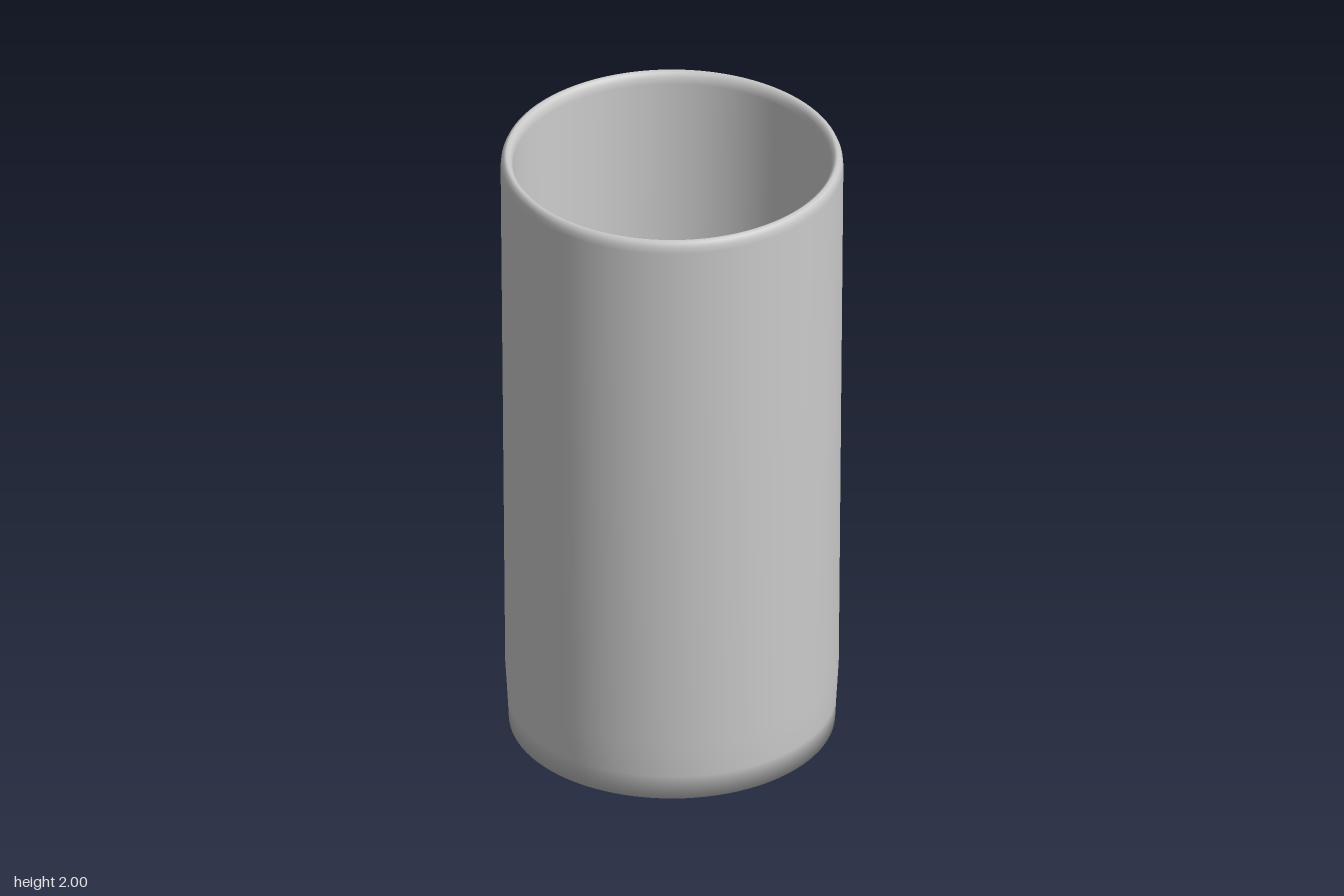
import * as THREE from 'three';

export function createModel() {
  const group = new THREE.Group();
  group.name = 'tumbler';
  const material = new THREE.MeshStandardMaterial({ color: 0xcccccc });

  // One closed profile: underside, outer wall, rounded rim, inner wall, floor
  const profile = [
    [0, 0], [0.5, 0],
    [0.504, 0.08], [0.511, 0.2], [0.518, 1.1], [0.525, 1.96],
    [0.523, 1.98], [0.517, 1.994], [0.507, 2], [0.497, 1.994], [0.49, 1.98], [0.487, 1.96],
    [0.48, 1.1], [0.473, 0.2], [0.468, 0.08],
    [0, 0.08],
  ].map(([r, y]) => new THREE.Vector2(r, y));

  const cup = new THREE.Mesh(new THREE.LatheGeometry(profile, 96), material);
  cup.name = 'cup';
  group.add(cup);
  return group;
}
